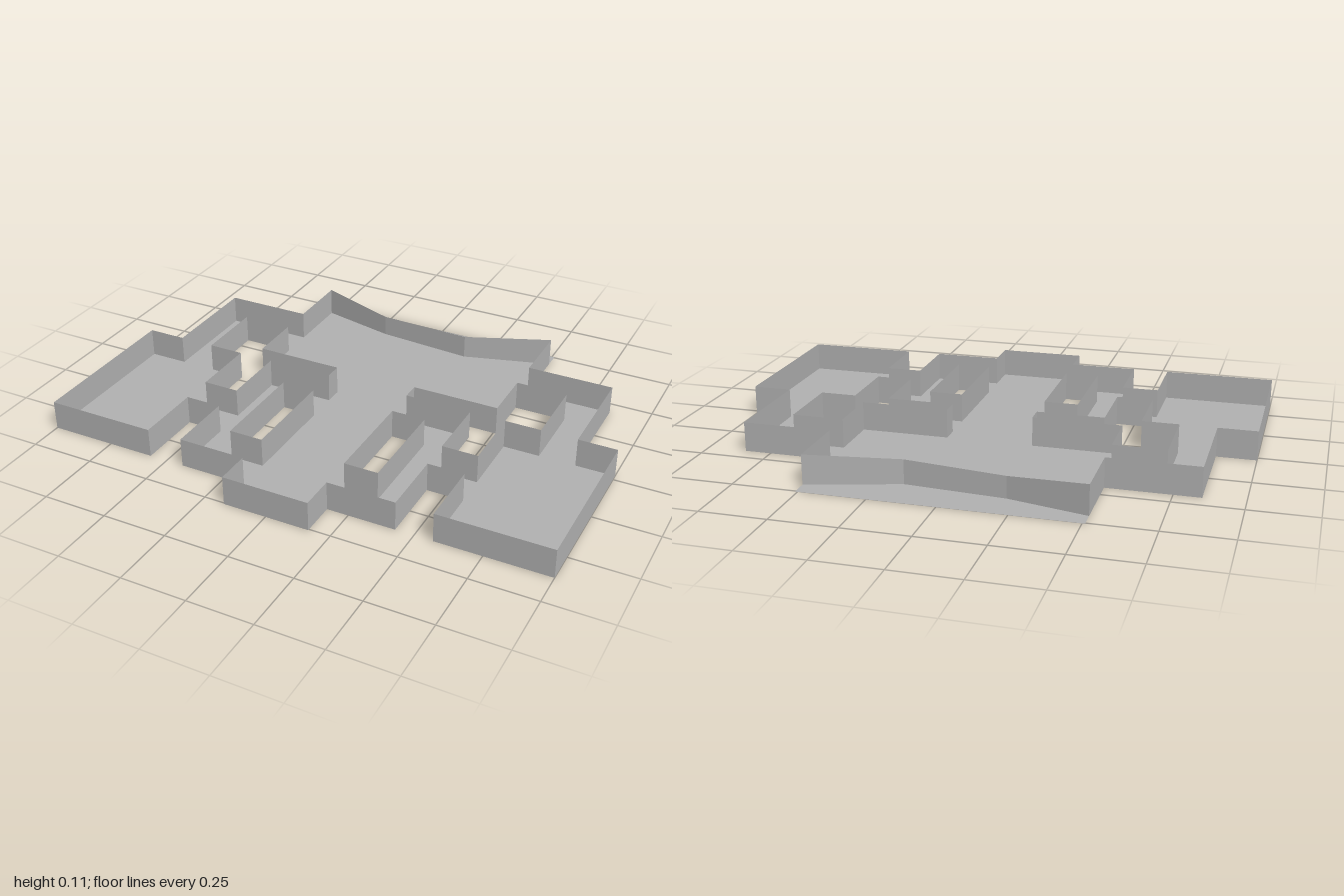
import * as THREE from 'three';

const HEIGHT = 0.113;

export function createModel() {
  const group = new THREE.Group();
  const grey = new THREE.MeshStandardMaterial({ color: 0xb2b2b2, side: THREE.DoubleSide });
  grey.name = 'plain grey';

  // Plan points are [x, z]
  const mirror = (pts) => pts.map(([x, z]) => [-x, z]).reverse();

  // Outer edge of the left half, from the back corner to the front corridor
  const halfEdge = [
    [0.51, -0.69], [0.51, -0.435], [0.85, -0.435], [0.85, -0.025], [1, -0.025], [1, 0.62],
    [0.57, 0.62], [0.57, 0.36], [0.43, 0.36], [0.43, 0.62], [0.168, 0.62], [0.168, 0.755],
  ];
  const outerEdge = [...halfEdge, ...mirror(halfEdge)];

  // Openings: a courtyard beside each arm and a slot beside the corridor
  const courtyard = [
    [0.51, -0.305], [0.71, -0.305], [0.71, -0.025], [0.57, -0.025], [0.57, 0.235],
    [0.43, 0.235], [0.43, -0.025], [0.168, -0.025], [0.168, -0.095], [0.51, -0.095],
  ];
  const slot = [[0.168, 0.1], [0.3, 0.1], [0.3, 0.49], [0.168, 0.49]];
  const openings = {
    leftCourtyardWall: courtyard, rightCourtyardWall: mirror(courtyard),
    leftSlotWall: slot, rightSlotWall: mirror(slot),
  };

  const add = (name, geometry) => {
    const mesh = new THREE.Mesh(geometry, grey);
    mesh.name = name;
    group.add(mesh);
  };

  // Thin upright sheet along a path; a third number sets the height at a point
  const addWall = (name, path) => {
    const positions = [];
    for (let i = 0; i < path.length - 1; i++) {
      const [ax, az, ah = HEIGHT] = path[i];
      const [bx, bz, bh = HEIGHT] = path[i + 1];
      positions.push(ax, 0, az, bx, 0, bz, bx, bh, bz);
      positions.push(ax, 0, az, bx, bh, bz, ax, ah, az);
    }
    const geometry = new THREE.BufferGeometry();
    geometry.setAttribute('position', new THREE.Float32BufferAttribute(positions, 3));
    geometry.computeVertexNormals();
    add(name, geometry);
  };

  // Floor sheet, reaching a little past the back wall
  const toVectors = (pts) => pts.map(([x, z]) => new THREE.Vector2(x, -z));
  const plan = new THREE.Shape(toVectors([[0.51, -0.755], ...outerEdge, [-0.51, -0.755]]));
  plan.holes = Object.values(openings).map((pts) => new THREE.Path(toVectors(pts)));
  add('floor', new THREE.ShapeGeometry(plan).rotateX(-Math.PI / 2));

  // Walls
  addWall('outerWall', outerEdge);
  for (const [name, pts] of Object.entries(openings)) addWall(name, [...pts, pts[0]]);
  addWall('saggingBackWall', [
    [-0.51, -0.69], [-0.21, -0.62, 0.083], [0.17, -0.59, 0.093], [0.51, -0.69],
  ]);

  return group;
}
